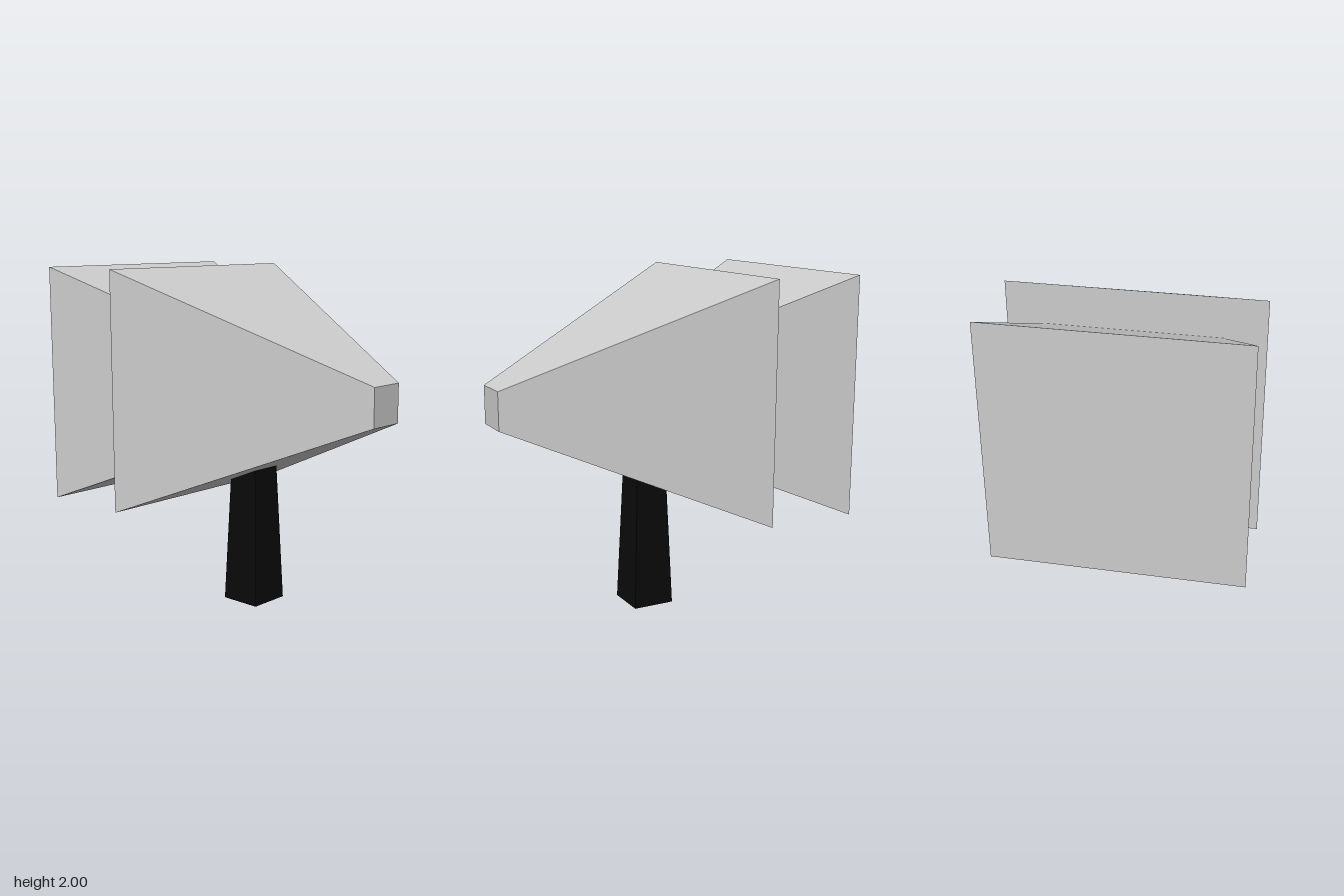
import * as THREE from 'three';

// Square tapered block standing on y = 0, sized by its half widths
function taperedBlock(bottomHalf, topHalf, length) {
  const geometry = new THREE.CylinderGeometry(topHalf * Math.SQRT2, bottomHalf * Math.SQRT2, length, 4);
  geometry.rotateY(Math.PI / 4);
  geometry.translate(0, length / 2, 0);
  return geometry;
}

export function createModel() {
  const model = new THREE.Group();
  model.name = 'model';

  const grey = new THREE.MeshStandardMaterial({ color: 0xcccccc, flatShading: true });
  const black = new THREE.MeshStandardMaterial({ color: 0x0a0a0a, flatShading: true });

  // Two equal truncated pyramids lying on their side, nested along x
  const pyramid = taperedBlock(0.704, 0.111, 1.408).rotateZ(-Math.PI / 2);
  for (const [name, x] of [['rearPyramid', -0.977], ['frontPyramid', -0.433]]) {
    const mesh = new THREE.Mesh(pyramid, grey);
    mesh.name = name;
    mesh.position.set(x, 1.296, 0);
    model.add(mesh);
  }

  // Tapered post running up into the front pyramid
  const post = new THREE.Mesh(taperedBlock(0.126, 0.085, 1.1), black);
  post.name = 'post';
  post.position.x = 0.025;
  model.add(post);

  return model;
}
